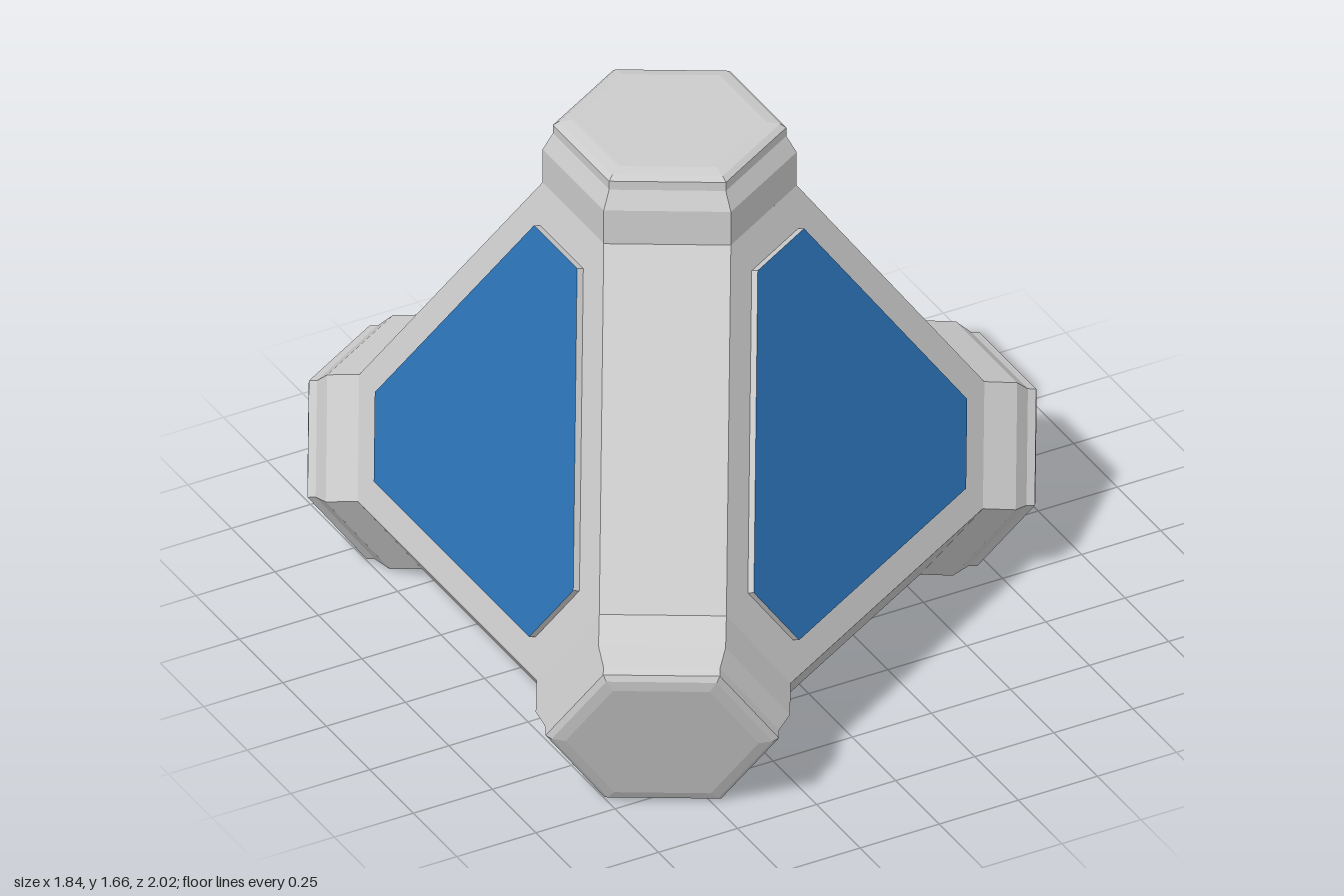
import * as THREE from 'three';
import { ConvexGeometry } from 'three/addons/geometries/ConvexGeometry.js';

const CENTRE = new THREE.Vector3(-0.165, 0.615, 0);
const COS30 = Math.sqrt(3) / 2;

// Unit directions from the centre to the four corners of a regular tetrahedron
const corners = [new THREE.Vector3(0, 1, 0)];
for (let i = 0; i < 3; i++) {
  const a = (i * Math.PI * 2) / 3;
  corners.push(new THREE.Vector3(Math.cos(a) * Math.sqrt(8) / 3, -1 / 3, Math.sin(a) * Math.sqrt(8) / 3));
}

// Part of direction `v` that lies at right angles to `axis`
const across = (v, axis) => v.clone().addScaledVector(axis, -v.dot(axis)).normalize();

// Frame with y along a corner and x towards a neighbouring corner
function cornerFrame(i) {
  const y = corners[i];
  const x = across(corners[(i + 1) % 4], y);
  return new THREE.Matrix4().makeBasis(x, y, x.clone().cross(y));
}

// Frame with z out of the face opposite a corner and y towards one of its corners
function faceFrame(i) {
  const z = corners[i].clone().negate();
  const y = across(corners[(i + 1) % 4], z);
  return new THREE.Matrix4().makeBasis(y.clone().cross(z), y, z);
}

export function createModel() {
  const model = new THREE.Group();
  const grey = new THREE.MeshStandardMaterial({ color: 0xcccccc, flatShading: true });
  const blue = new THREE.MeshStandardMaterial({ color: 0x2a72b5, flatShading: true });
  const add = (name, geometry, material, frame) => {
    const mesh = new THREE.Mesh(geometry, material);
    mesh.name = name;
    if (frame) mesh.quaternion.setFromRotationMatrix(frame);
    mesh.position.copy(CENTRE);
    model.add(mesh);
  };

  // Body: hull around a hexagon at each corner, giving wide bevelled edges
  const hullPoints = [];
  corners.forEach((_, i) => {
    for (let k = 0; k < 6; k++) {
      const a = (k * Math.PI) / 3;
      const r = 0.305 / COS30;
      hullPoints.push(new THREE.Vector3(Math.sin(a) * r, 0.845, Math.cos(a) * r).applyMatrix4(cornerFrame(i)));
    }
  });
  add('body', new ConvexGeometry(hullPoints), grey);

  // Hexagonal corner caps: [half width across flats, distance from centre]
  const capProfile = [
    [0.305, 0.845], [0.305, 0.955], [0.28, 1.008], [0.28, 1.036],
    [0.265, 1.048], [0.232, 1.055], [0, 1.055],
  ].map(([flat, h]) => new THREE.Vector2(flat / COS30, h));
  const capGeometry = new THREE.LatheGeometry(capProfile, 6).toNonIndexed();
  capGeometry.computeVertexNormals();

  // Face panels: a triangle with cut corners, slightly raised
  const panelPoints = [];
  for (let k = 0; k < 3; k++) {
    for (const x of [0.124, -0.124]) {
      panelPoints.push(new THREE.Vector2(x, 0.587).rotateAround(new THREE.Vector2(), (k * Math.PI * 2) / 3));
    }
  }
  const panelGeometry = new THREE.ExtrudeGeometry(new THREE.Shape(panelPoints), { depth: 0.03, bevelEnabled: false });
  panelGeometry.translate(0, 0, 0.56);

  const capNames = ['topCap', 'leftCap', 'frontRightCap', 'backRightCap'];
  const panelNames = ['bottomPanel', 'rightPanel', 'backPanel', 'frontPanel'];
  corners.forEach((_, i) => {
    add(capNames[i], capGeometry, grey, cornerFrame(i));
    add(panelNames[i], panelGeometry, [blue, grey], faceFrame(i));
  });
  return model;
}
